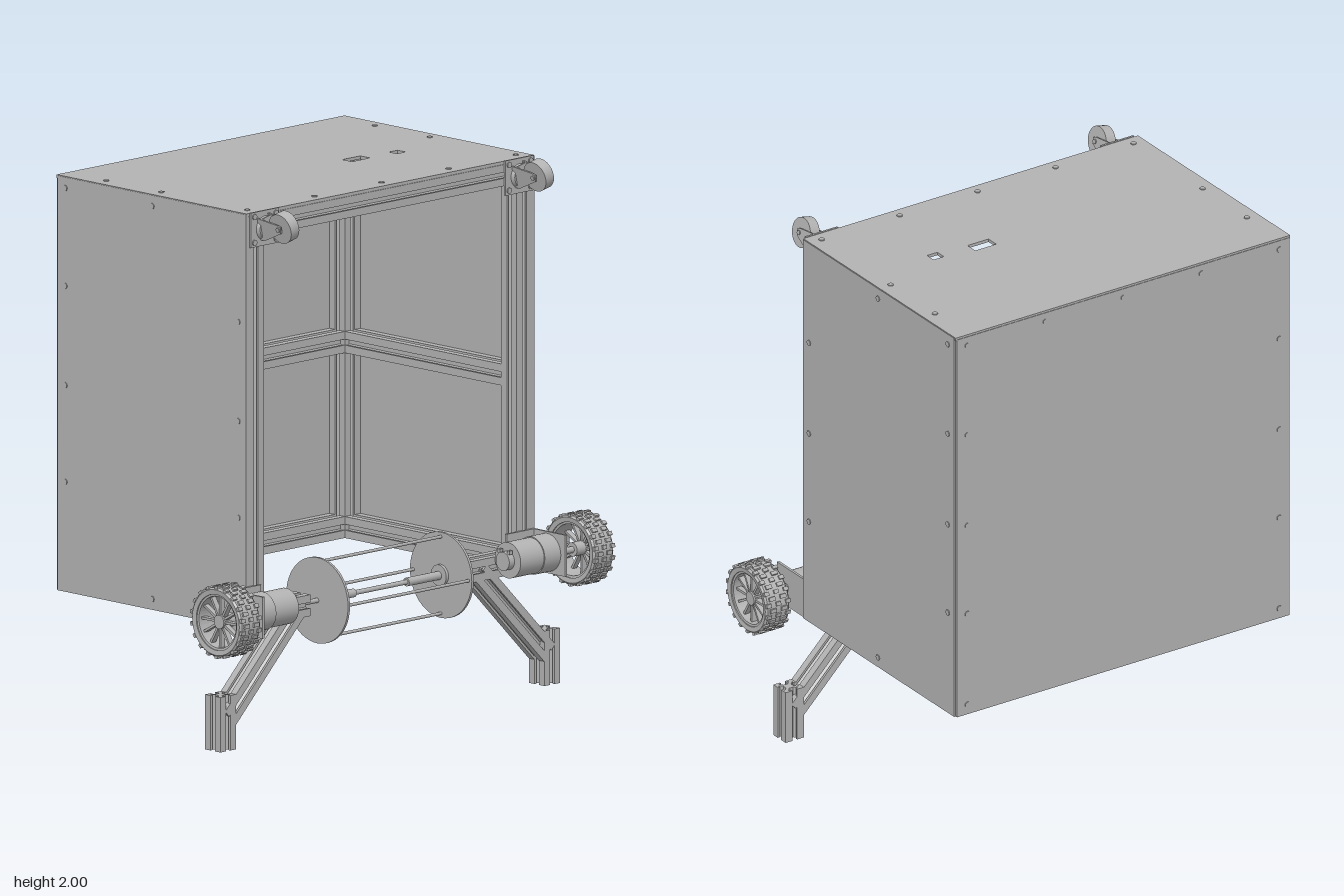
import * as THREE from 'three';

export function createModel() {
  const root = new THREE.Group();
  const gray = new THREE.MeshStandardMaterial({ color: 0xb2b2b2 });
  gray.name = 'machineGray';
  const CX = 0.04; // centre line of the cabinet

  const add = (parent, name, geo, x = 0, y = 0, z = 0) => {
    const m = new THREE.Mesh(geo, gray);
    m.name = name;
    m.position.set(x, y, z);
    parent.add(m);
    return m;
  };
  const group = (name, x = 0, y = 0, z = 0, parent = root) => {
    const g = new THREE.Group();
    g.name = name;
    g.position.set(x, y, z);
    parent.add(g);
    return g;
  };
  const box = (w, h, d) => new THREE.BoxGeometry(w, h, d);
  const cylX = (r, len, n = 32) => new THREE.CylinderGeometry(r, r, len, n).rotateZ(Math.PI / 2);
  const ring = (pts, n = 48) =>
    new THREE.LatheGeometry(pts.map(p => new THREE.Vector2(...p)), n).toNonIndexed().rotateZ(-Math.PI / 2);

  // Slotted square section shared by every frame bar
  const side = [[0.04, 0.04], [0.011, 0.04], [0.011, 0.031], [0.021, 0.031], [0.009, 0.017],
    [-0.009, 0.017], [-0.021, 0.031], [-0.011, 0.031], [-0.011, 0.04]];
  const section = [];
  for (let q = 0; q < 4; q++) {
    const c = [1, 0, -1, 0][q], s = [0, 1, 0, -1][q];
    for (const [x, y] of side) section.push(new THREE.Vector2(x * c - y * s, x * s + y * c));
  }
  const bar = (name, a, b, parent = frame) => {
    const A = new THREE.Vector3(...a), B = new THREE.Vector3(...b);
    const dir = B.clone().sub(A), len = dir.length();
    dir.normalize();
    const ref = Math.abs(dir.z) < 0.9 ? new THREE.Vector3(0, 0, 1) : new THREE.Vector3(0, 1, 0);
    const X = ref.cross(dir).normalize(), Y = dir.clone().cross(X);
    const geo = new THREE.ExtrudeGeometry(new THREE.Shape(section), { depth: len, bevelEnabled: false });
    geo.applyMatrix4(new THREE.Matrix4().makeBasis(X, Y, dir).setPosition(A));
    return add(parent, name, geo);
  };

  // Frame
  const frame = group('frame');
  const zF = 0.33, zB = -0.56, yB = 0.48, yT = 1.935;
  for (const s of [-1, 1]) {
    const x = CX + s * 0.69;
    for (const z of [zF, zB]) bar('cornerPost', [x, 0.44, z], [x, 1.975, z]);
    for (const y of [yB, 1.17, yT]) bar('sideRail', [x, y, zB + 0.04], [x, y, zF - 0.04]);
    // short front rail, splayed strut and foot
    bar('frontStub', [CX + s * 0.65, yB, zF], [CX + s * 0.41, yB, zF]);
    bar('legStrut', [CX + s * 0.47, 0.47, zF], [CX + s * 0.82, 0.12, zF]);
    bar('foot', [CX + s * 0.833, 0, zF], [CX + s * 0.833, 0.205, zF]);
  }
  for (const [y, z] of [[yB, zB], [1.17, zB], [yT, zB], [yT, zF]])
    bar('crossRail', [CX - 0.65, y, z], [CX + 0.65, y, z]);

  // Cladding panels
  const panels = group('panels');
  add(panels, 'backPanel', box(1.47, 1.54, 0.012), CX, 1.21, -0.608);
  for (const s of [-1, 1])
    add(panels, 'sidePanel', box(0.012, 1.545, 0.975), CX + s * 0.736, 1.2125, -0.1175);
  const lid = new THREE.Shape([[-0.7, -0.37], [0.78, -0.37], [0.78, 0.612], [-0.7, 0.612]]
    .map(p => new THREE.Vector2(...p)));
  for (const [x0, x1, z0, z1] of [[0.225, 0.318, -0.065, -0.015], [0.44, 0.485, -0.04, 0.002]])
    lid.holes.push(new THREE.Path([[x0, -z0], [x1, -z0], [x1, -z1], [x0, -z1]]
      .map(p => new THREE.Vector2(...p))));
  add(panels, 'topPanel',
    new THREE.ExtrudeGeometry(lid, { depth: 0.012, bevelEnabled: false }).rotateX(-Math.PI / 2), 0, 1.976, 0);

  // Panel screws
  const screws = group('screws');
  const screwY = new THREE.CylinderGeometry(0.011, 0.011, 0.005, 12);
  const screwX = screwY.clone().rotateZ(Math.PI / 2), screwZ = screwY.clone().rotateX(Math.PI / 2);
  const cols = [-0.65, -0.305, 0.04, 0.385, 0.73];
  for (const x of cols) add(screws, 'topScrew', screwY, x, 1.989, 0.325);
  for (const x of [-0.65, 0.73]) {
    for (const z of [-0.405, -0.12]) add(screws, 'topScrew', screwY, x, 1.989, z);
    for (const y of [0.48, 0.85, 1.21, 1.58, 1.945]) add(screws, 'backScrew', screwZ, x, y, -0.615);
  }
  for (const x of cols.slice(1, 4)) add(screws, 'backScrew', screwZ, x, 1.945, -0.615);
  for (const s of [-1, 1]) {
    const x = CX + s * 0.743;
    for (const y of [0.85, 1.21, 1.58])
      for (const z of [0.33, -0.565]) add(screws, 'sideScrew', screwX, x, y, z);
    for (const [y, z] of [[1.945, -0.115], [1.945, -0.565], [0.48, -0.115]])
      add(screws, 'sideScrew', screwX, x, y, z);
  }

  // Spool: two discs joined by four rods on a shaft
  const spool = group('spool', 0.032, 0.48, 0.325);
  add(spool, 'spoolShaft', cylX(0.009, 0.84, 16));
  for (const s of [-1, 1]) {
    add(spool, 'spoolDisc', cylX(0.16, 0.01, 48), s * 0.318);
    add(spool, 'spoolHub', cylX(0.04, 0.012, 24), s * 0.307);
    add(spool, 'spoolCollar', cylX(0.016, 0.17, 16), s * 0.22);
  }
  for (let i = 0; i < 4; i++) {
    const a = i * Math.PI / 2;
    add(spool, 'spoolRod', cylX(0.006, 0.64, 12), 0, Math.sin(a) * 0.143, Math.cos(a) * 0.143);
  }

  // Drive units
  const tyre = ring([[0.104, -0.05], [0.122, -0.053], [0.129, -0.046], [0.129, 0.046],
    [0.122, 0.053], [0.104, 0.05], [0.104, -0.05]]);
  const rim = ring([[0.096, -0.044], [0.106, -0.046], [0.106, 0.046], [0.096, 0.044], [0.096, -0.044]]);
  tyre.computeVertexNormals();
  rim.computeVertexNormals();
  for (const s of [-1, 1]) {
    const drive = group(s < 0 ? 'rightDrive' : 'leftDrive', -0.003, 0.52, 0.478);
    const wheel = group('wheel', s * 0.908, 0, 0, drive);
    add(wheel, 'tyre', tyre);
    add(wheel, 'rim', rim);
    add(wheel, 'wheelHub', cylX(0.026, 0.075, 24));
    for (let i = 0; i < 12; i++) {
      const spoke = group('spoke', 0, 0, 0, wheel);
      spoke.rotation.x = i * Math.PI / 6;
      add(spoke, 'spokeBlade', box(0.022, 0.08, 0.009), s * 0.02, 0.06, 0);
    }
    // staggered tread blocks
    for (let i = 0; i < 36; i++) {
      const tread = group('tread', 0, 0, 0, wheel);
      tread.rotation.x = i * Math.PI / 18;
      const odd = i % 2;
      for (const x of odd ? [-0.024, 0.024] : [-0.042, 0, 0.042])
        add(tread, 'treadBlock', box(odd ? 0.026 : 0.02, 0.01, 0.015), x, 0.13, 0);
    }
    add(drive, 'axle', cylX(0.012, 0.14, 16), s * 0.84);
    add(drive, 'axleCollar', cylX(0.02, 0.02, 16), s * 0.8);
    // gearmotor, stepped towards the inside
    add(drive, 'gearbox', cylX(0.071, 0.09), s * 0.735, 0, -0.03);
    add(drive, 'motorBody', cylX(0.067, 0.12), s * 0.63, 0, -0.03);
    add(drive, 'motorCap', cylX(0.035, 0.03), s * 0.558, 0, -0.03);
    for (const z of [-0.055, -0.005]) add(drive, 'terminal', box(0.016, 0.014, 0.012), s * 0.556, 0.035, z);
    // angle bracket
    add(drive, 'bracketCheek', box(0.01, 0.155, 0.17), s * 0.777, 0, -0.022);
    add(drive, 'bracketFoot', box(0.15, 0.155, 0.01), s * 0.707, 0, -0.103);
  }

  // Casters on the upper front corners
  const cheek = new THREE.Shape([[0, 0.03], [0, -0.055], [0.025, -0.055], [0.115, -0.014], [0.12, 0.012], [0.1, 0.018]]
    .map(p => new THREE.Vector2(...p)));
  const cheekGeo = new THREE.ExtrudeGeometry(cheek, { depth: 0.006, bevelEnabled: false })
    .rotateY(-Math.PI / 2).translate(0.003, 0, 0);
  for (const x of [-0.612, 0.697]) {
    const caster = group('caster', x, 1.925, 0.371);
    add(caster, 'casterPlate', box(0.145, 0.13, 0.008), 0, 0, 0.004);
    for (const dx of [-0.055, 0.055])
      for (const dy of [-0.048, 0.048]) add(caster, 'plateBolt', screwZ, dx, dy, 0.01);
    add(caster, 'swivel', new THREE.CylinderGeometry(0.04, 0.046, 0.016, 24).rotateX(Math.PI / 2), 0, 0, 0.014);
    const fork = group('casterFork', -0.005, 0.018, 0.006, caster);
    fork.rotation.z = 0.22;
    for (const dx of [-0.028, 0.028]) add(fork, 'forkCheek', cheekGeo, dx, 0, 0);
    add(fork, 'forkBridge', box(0.062, 0.08, 0.006), 0, -0.012, 0.02);
    add(fork, 'casterWheel', cylX(0.057, 0.042), 0, 0, 0.105);
    add(fork, 'casterAxle', cylX(0.009, 0.07, 12), 0, 0, 0.105);
  }
  return root;
}
